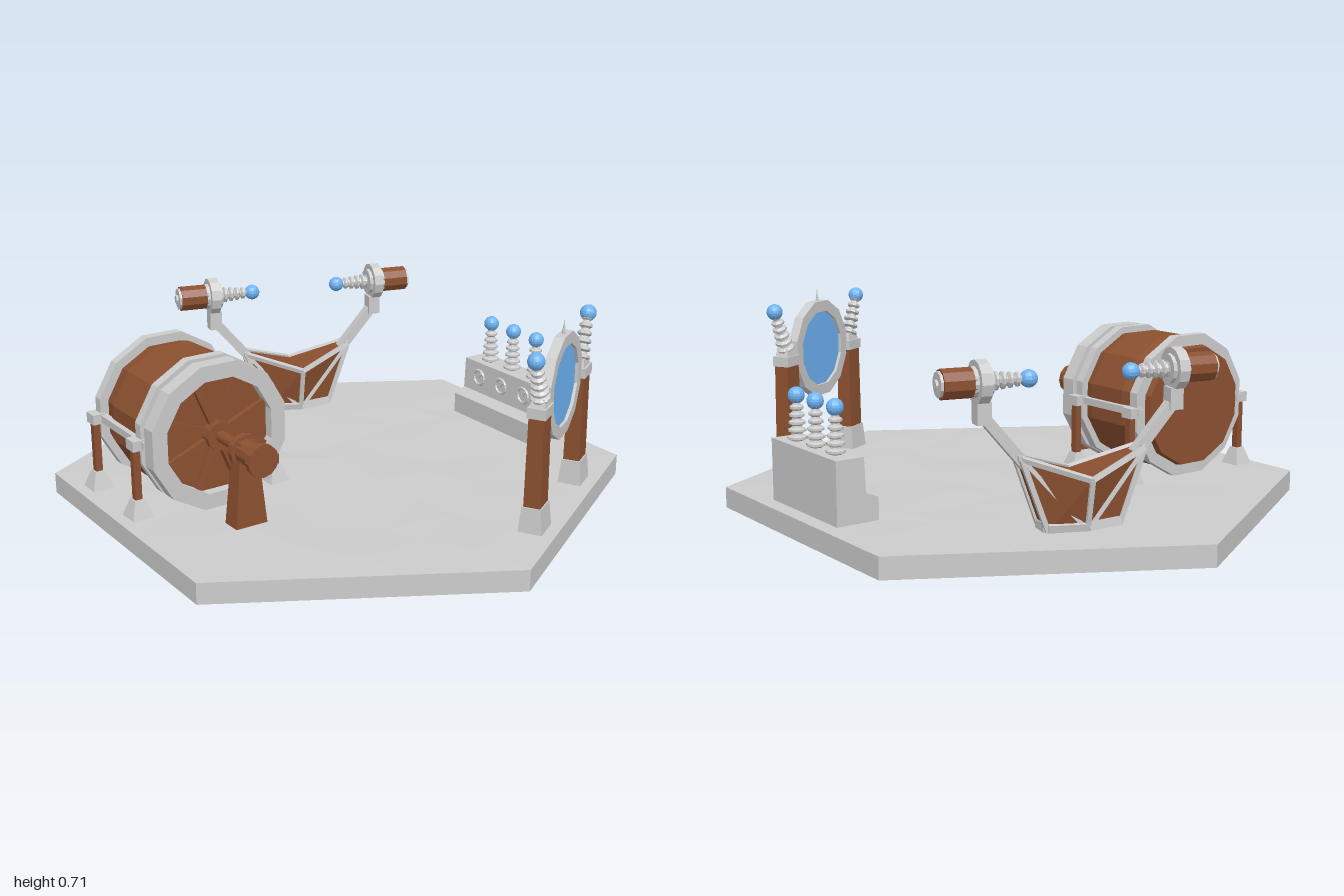
import * as THREE from 'three';

const paint = (color) => new THREE.MeshStandardMaterial({ color, flatShading: true });
const GREY = paint(0xcccccc), BROWN = paint(0x8b5030), BLUE = paint(0x6fb4f5);
const V = (x, y, z) => new THREE.Vector3(x, y, z);
const UP = V(0, 1, 0);
const FLOOR = 0.075;

function add(parent, name, geometry, material, x = 0, y = 0, z = 0) {
  const mesh = new THREE.Mesh(geometry, material);
  mesh.name = name;
  mesh.position.set(x, y, z);
  parent.add(mesh);
  return mesh;
}

function station(parent, name, x, z, degrees) {
  const g = new THREE.Group();
  g.name = name;
  g.position.set(x, 0, z);
  g.rotation.y = THREE.MathUtils.degToRad(degrees);
  parent.add(g);
  return g;
}

// Box whose top is narrower than its foot, standing on y = 0
function taper(w, d, topW, topD, h) {
  const geo = new THREE.BoxGeometry(w, h, d).translate(0, h / 2, 0);
  const p = geo.attributes.position;
  for (let i = 0; i < p.count; i++)
    if (p.getY(i) > h / 2) p.setXYZ(i, Math.sign(p.getX(i)) * topW / 2, h, Math.sign(p.getZ(i)) * topD / 2);
  return geo;
}

// Square bar between two points
function beam(parent, name, a, b, t, material = GREY) {
  const m = add(parent, name, new THREE.BoxGeometry(t, a.distanceTo(b), t), material);
  m.position.copy(a).lerp(b, 0.5);
  m.quaternion.setFromUnitVectors(UP, b.clone().sub(a).normalize());
}

// Cylinder lying along z
const drumZ = (r, len, n = 12) => new THREE.CylinderGeometry(r, r, len, n).rotateX(Math.PI / 2);

// Flat-topped polygonal hoop, centred on its depth along z
function hoop(ro, ri, depth, n = 12) {
  const polygon = (r) => Array.from({ length: n }, (_, i) => {
    const a = (i + 0.5) * 2 * Math.PI / n;
    return new THREE.Vector2(r * Math.cos(a), r * Math.sin(a));
  });
  const shape = new THREE.Shape(polygon(ro));
  shape.holes.push(new THREE.Path(polygon(ri)));
  return new THREE.ExtrudeGeometry(shape, { depth, bevelEnabled: false }).translate(0, 0, -depth / 2);
}

// Ribbed cone with a ball at its tip
function insulator(parent, from, tip) {
  const g = new THREE.Group(), len = from.distanceTo(tip), ribs = 6;
  g.name = 'insulator';
  const pts = [new THREE.Vector2(0, 0)];
  for (let i = 0; i < ribs; i++) {
    const y = len * i / ribs, r = 0.032 - 0.014 * i / ribs;
    pts.push(new THREE.Vector2(r * 0.6, y), new THREE.Vector2(r, y + len * 0.04), new THREE.Vector2(r, y + len * 0.09), new THREE.Vector2(r * 0.6, y + len * 0.13));
  }
  pts.push(new THREE.Vector2(0.01, len));
  add(g, 'ribs', new THREE.LatheGeometry(pts, 10), GREY);
  add(g, 'ball', new THREE.SphereGeometry(0.028, 14, 10), BLUE, 0, len, 0);
  g.position.copy(from);
  g.quaternion.setFromUnitVectors(UP, tip.clone().sub(from).normalize());
  parent.add(g);
}

// Hexagonal slab with a slightly uneven, triangulated top
function buildSlab(root) {
  const side = new THREE.CylinderGeometry(1, 1, FLOOR - 0.003, 6, 1).rotateY(Math.PI / 6);
  add(root, 'slab', side, GREY, 0, (FLOOR - 0.003) / 2, 0);
  const N = 5, pos = [];
  const inside = (q, r) => Math.max(Math.abs(q), Math.abs(r), Math.abs(q + r)) <= N;
  const noise = (q, r, k) => { const s = Math.sin(q * 127.1 + r * 311.7 + k * 74.7) * 43758.5; return s - Math.floor(s) - 0.5; };
  const point = (q, r) => {
    const rim = Math.max(Math.abs(q), Math.abs(r), Math.abs(q + r)) === N, j = rim ? 0 : 0.12;
    return [(q + r / 2) / N + j * noise(q, r, 1), rim ? FLOOR - 0.003 : FLOOR + 0.006 * noise(q, r, 2), r * 0.866 / N + j * noise(q, r, 3)];
  };
  const tri = (...c) => { if (c.every(([q, r]) => inside(q, r))) c.forEach(([q, r]) => pos.push(...point(q, r))); };
  for (let q = -N; q <= N; q++) for (let r = -N; r <= N; r++) {
    tri([q, r], [q, r + 1], [q + 1, r]);
    tri([q + 1, r], [q, r + 1], [q + 1, r + 1]);
  }
  const top = new THREE.BufferGeometry().setAttribute('position', new THREE.Float32BufferAttribute(pos, 3));
  top.computeVertexNormals();
  add(root, 'pavedTop', top, GREY);
}

// Barrel on four legs, with a driven axle in front
function buildBarrel(root) {
  const g = station(root, 'barrel', -0.53, 0.14, 30), cy = 0.325;
  const profile = [[0, -0.2], [0.212, -0.2], [0.24, -0.08], [0.24, 0.08], [0.215, 0.19], [0, 0.19]].map(([x, y]) => new THREE.Vector2(x, y));
  add(g, 'staves', new THREE.LatheGeometry(profile, 12, Math.PI / 12).rotateX(Math.PI / 2), BROWN, 0, cy, 0);
  add(g, 'frontRim', hoop(0.255, 0.2, 0.055), GREY, 0, cy, 0.198);
  for (let i = 0; i < 8; i++) {
    const a = (i + 0.5) * Math.PI / 4;
    beam(g, 'spoke', V(0, cy, 0.2), V(0.2 * Math.cos(a), cy + 0.2 * Math.sin(a), 0.195), 0.022, BROWN);
  }
  add(g, 'hub', drumZ(0.05, 0.05), BROWN, 0, cy, 0.205);
  for (const z of [-0.16, 0.13]) {
    add(g, 'band', hoop(0.257, 0.2, 0.035), GREY, 0, cy, z);
    for (const s of [-1, 1]) {
      add(g, 'foot', taper(0.075, 0.075, 0.035, 0.035, 0.06), GREY, s * 0.262, FLOOR, z);
      add(g, 'leg', new THREE.BoxGeometry(0.024, 0.2, 0.024), BROWN, s * 0.262, 0.23, z);
      add(g, 'bracket', new THREE.BoxGeometry(0.045, 0.035, 0.05), GREY, s * 0.258, cy, z);
    }
  }
  for (const s of [-1, 1]) add(g, 'sideStrap', new THREE.BoxGeometry(0.025, 0.025, 0.36), GREY, s * 0.238, cy, -0.01);
  add(g, 'axle', drumZ(0.02, 0.22), BROWN, 0, cy, 0.3);
  add(g, 'axlePost', taper(0.115, 0.07, 0.06, 0.05, 0.285), BROWN, 0, FLOOR, 0.375);
  add(g, 'drum', drumZ(0.042, 0.12), BROWN, 0, cy, 0.425);
  for (const z of [0.372, 0.478]) add(g, 'drumFlange', drumZ(0.055, 0.022), BROWN, 0, cy, z);
}

// Faceted cradle with two arms that carry facing emitters
function buildCradle(root) {
  const g = station(root, 'twinEmitter', -0.125, -0.625, 15);
  const loop = (x, yEnd, zEnd, yMid, zMid) => [V(x, yEnd, zEnd), V(x, yEnd, -zEnd), V(0, yMid, -zMid), V(-x, yEnd, -zEnd), V(-x, yEnd, zEnd), V(0, yMid, zMid)];
  const bottom = loop(0.12, FLOOR, 0.035, FLOOR, 0.06), top = loop(0.205, 0.31, 0.03, 0.24, 0.095);
  const pos = [];
  const quad = (a, b, c, d) => [a, b, c, a, c, d].forEach((p) => pos.push(p.x, p.y, p.z));
  for (let i = 0; i < 6; i++) {
    const j = (i + 1) % 6;
    quad(bottom[i], bottom[j], top[j], top[i]);
    beam(g, 'topEdge', top[i], top[j], 0.016);
    beam(g, 'cornerStrut', bottom[i], top[i], 0.016);
    beam(g, 'footRail', bottom[i].clone().setY(0.088), bottom[j].clone().setY(0.088), 0.028);
  }
  quad(top[0], top[1], top[2], top[5]);
  quad(top[5], top[2], top[3], top[4]);
  const shell = new THREE.BufferGeometry().setAttribute('position', new THREE.Float32BufferAttribute(pos, 3));
  shell.computeVertexNormals();
  add(g, 'cradleShell', shell, BROWN);
  for (const k of [2, 5]) for (const e of [0, 3])
    beam(g, 'diagonal', bottom[k], top[k === 2 ? (e ? 3 : 1) : (e ? 4 : 0)], 0.014);

  for (const s of [-1, 1]) {
    beam(g, 'arm', V(s * 0.18, 0.28, 0), V(s * 0.315, 0.44, 0), 0.034);
    add(g, 'armBracket', new THREE.BoxGeometry(0.045, 0.07, 0.05), GREY, s * 0.32, 0.455, 0);
    const head = station(g, 'emitter', s * 0.325, 0, s * 90);
    head.position.y = 0.548;
    add(head, 'collar', drumZ(0.068, 0.035), GREY);
    add(head, 'innerCollar', drumZ(0.048, 0.06), GREY);
    add(head, 'barrelEnd', drumZ(0.047, 0.1, 10), BROWN, 0, 0, 0.075);
    add(head, 'endCap', drumZ(0.04, 0.012, 10), GREY, 0, 0, 0.128);
    add(head, 'capBolt', drumZ(0.016, 0.012, 8), GREY, 0, 0, 0.136);
    insulator(head, V(0, 0, -0.015), V(0, 0, -0.155));
  }
}

// Console with sloped desk, dials and three insulators
function buildConsole(root) {
  const g = station(root, 'console', 0.658, -0.345, -60);
  const shape = new THREE.Shape([[-0.075, FLOOR], [0.075, FLOOR], [0.075, 0.15], [0.03, 0.168], [0.025, 0.285], [-0.075, 0.285]].map(([x, y]) => new THREE.Vector2(x, y)));
  const body = new THREE.ExtrudeGeometry(shape, { depth: 0.42, bevelEnabled: false }).translate(0, 0, -0.21).rotateY(-Math.PI / 2);
  add(g, 'consoleBody', body, GREY);
  for (const x of [-0.125, 0, 0.125]) {
    add(g, 'dial', new THREE.TorusGeometry(0.028, 0.006, 6, 14), GREY, x, 0.228, 0.029);
    beam(g, 'needle', V(x, 0.228, 0.03), V(x + 0.012, 0.245, 0.03), 0.006);
    insulator(g, V(x, 0.285, -0.025), V(x, 0.435, -0.025));
  }
}

// Round mirror hung between two pillars
function buildMirror(root) {
  const g = station(root, 'mirrorGate', 0.68, 0.395, 60), cy = 0.49;
  add(g, 'mirrorFrame', hoop(0.178, 0.138, 0.035), GREY, 0, cy, 0);
  add(g, 'mirrorGlass', drumZ(0.142, 0.014, 24), BLUE, 0, cy, 0);
  add(g, 'finial', new THREE.ConeGeometry(0.008, 0.055, 6), GREY, 0, 0.682, 0);
  for (const s of [-1, 1]) {
    add(g, 'pillarFoot', taper(0.1, 0.08, 0.088, 0.064, 0.085), GREY, s * 0.217, FLOOR, 0);
    add(g, 'pillar', taper(0.08, 0.056, 0.074, 0.05, 0.34), BROWN, s * 0.217, 0.15, 0);
    add(g, 'pillarCap', new THREE.BoxGeometry(0.082, 0.035, 0.062), GREY, s * 0.217, 0.475, 0);
    add(g, 'pillarTop', taper(0.07, 0.05, 0.05, 0.04, 0.03), GREY, s * 0.217, 0.49, 0);
    add(g, 'hanger', new THREE.BoxGeometry(0.04, 0.03, 0.026), GREY, s * 0.18, cy, 0);
    insulator(g, V(s * 0.217, 0.51, 0), V(s * 0.285, 0.655, 0));
  }
}

export function createModel() {
  const root = new THREE.Group();
  root.name = 'workshopPlatform';
  buildSlab(root);
  buildBarrel(root);
  buildCradle(root);
  buildConsole(root);
  buildMirror(root);
  return root;
}
